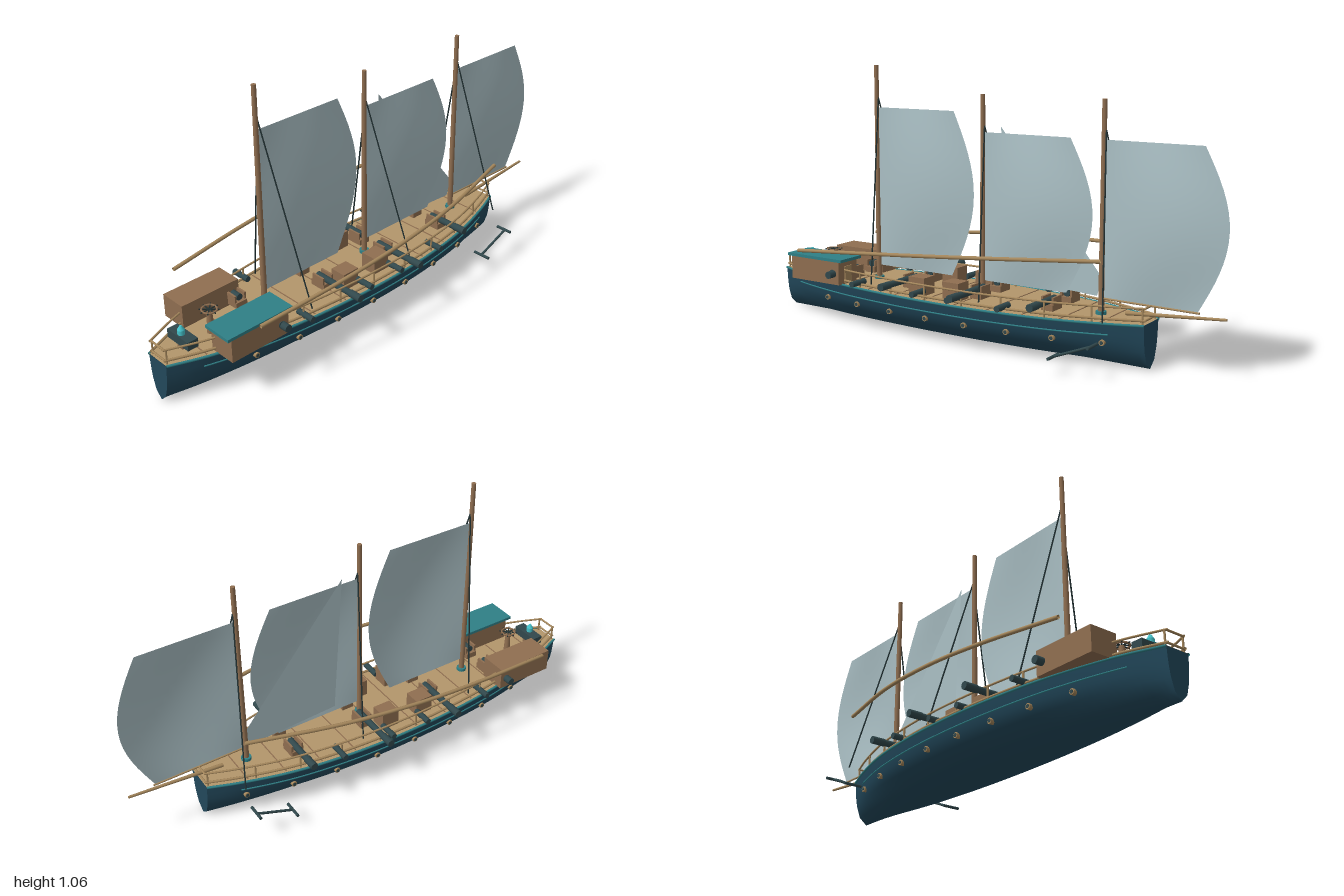
import * as THREE from 'three';

const mat = (name, color) => {
  const m = new THREE.MeshStandardMaterial({ color, side: THREE.DoubleSide });
  m.name = name;
  return m;
};

export function createModel() {
  const root = new THREE.Group();
  root.name = 'sailingShip';
  const hullBlue = mat('hullBlue', 0x22485b), deckTan = mat('deckTan', 0xb3966b),
    wood = mat('wood', 0x8f6e50), spar = mat('spar', 0xa5875c), teal = mat('teal', 0x2f7f86),
    glow = mat('lanternGlow', 0x45c4cc), metal = mat('metal', 0x31484c),
    sailGrey = mat('sailCloth', 0xa9bec3), rope = mat('rope', 0x223234);

  const V = (x, y, z) => new THREE.Vector3(x, y, z);
  const add = (name, geo, material, x = 0, y = 0, z = 0) => {
    const m = new THREE.Mesh(geo, material);
    m.name = name;
    m.position.set(x, y, z);
    root.add(m);
    return m;
  };
  const box = (name, m, w, h, d, x, y, z) => add(name, new THREE.BoxGeometry(w, h, d), m, x, y, z);
  // round bar between two points
  const bar = (name, m, a, b, r0, r1 = r0, sides = 8) => {
    const d = b.clone().sub(a);
    const mesh = add(name, new THREE.CylinderGeometry(r1, r0, d.length(), sides), m);
    mesh.position.copy(a).addScaledVector(d, 0.5);
    mesh.quaternion.setFromUnitVectors(V(0, 1, 0), d.normalize());
    return mesh;
  };
  const tube = (name, m, pts, r, n = 40) =>
    add(name, new THREE.TubeGeometry(new THREE.CatmullRomCurve3(pts), n, r, 8), m);

  // plan outline: half width along the length
  const plan = new THREE.CatmullRomCurve3([[1, 0.05], [0.85, 0.108], [0.6, 0.168], [0.35, 0.198],
    [0.1, 0.208], [-0.15, 0.198], [-0.4, 0.162], [-0.6, 0.105], [-0.72, 0.06]]
    .map(([z, w]) => V(w, 0, z))).getPoints(48);
  const halfWidth = z => {
    let i = 0;
    while (i < plan.length - 2 && plan[i + 1].z > z) i++;
    const a = plan[i], b = plan[i + 1];
    return a.x + (b.x - a.x) * (a.z - z) / (a.z - b.z);
  };

  // hull: one section scaled along the plan
  const half = [[1, 0.175], [0.965, 0.14], [0.92, 0.11], [0.82, 0.075], [0.55, 0.03]];
  const section = [...half.map(([x, y]) => [-x, y]), [0, 0.003], ...half.map(p => [...p]).reverse()];
  const pos = [], idx = [], n = section.length;
  plan.forEach((p, i) => section.forEach(([x, y], j) => {
    pos.push(x * p.x, y, p.z);
    if (i < plan.length - 1 && j < n - 1) {
      const a = i * n + j, c = a + n;
      idx.push(a, c, a + 1, a + 1, c, c + 1);
    }
  }));
  const hull = new THREE.BufferGeometry();
  hull.setAttribute('position', new THREE.Float32BufferAttribute(pos, 3));
  hull.setIndex(idx);
  hull.computeVertexNormals();
  add('hull', hull, hullBlue);
  for (const [name, p, turn] of [['bowPlate', plan[0], 0], ['sternPlate', plan[48], Math.PI]]) {
    const s = new THREE.Shape(section.map(([x, y]) => new THREE.Vector2(x * p.x, y)));
    add(name, new THREE.ShapeGeometry(s), hullBlue, 0, 0, p.z).rotation.y = turn;
  }

  // deck with plank seams
  const deck = new THREE.Shape([...plan.map(p => new THREE.Vector2(p.x, -p.z)),
    ...plan.slice().reverse().map(p => new THREE.Vector2(-p.x, -p.z))]);
  add('deck', new THREE.ShapeGeometry(deck), deckTan, 0, 0.176, 0).rotation.x = -Math.PI / 2;
  for (let z = 0.86; z > -0.7; z -= 0.143)
    box('plankSeam', wood, 2 * halfWidth(z) - 0.02, 0.002, 0.004, 0, 0.177, z);

  for (const s of [-1, 1]) {
    // gunwale, trim and rails
    const along = (inset, y, from = 0, to = 48) =>
      plan.slice(from, to + 1).map(p => V(s * (p.x + inset), y, p.z));
    tube('gunwale', teal, along(0.001, 0.174), 0.005, 60);
    tube('hullTrim', teal, plan.slice(5, 43).map(p => V(s * p.x * 0.963, 0.133, p.z)), 0.003, 60);
    tube('lowerRail', spar, along(-0.012, 0.19), 0.005, 60);
    tube('topRail', spar, along(-0.012, 0.234), 0.004, 60);
    for (let z = 0.99; z > -0.72; z -= 0.17) {
      const x = s * (halfWidth(z) - 0.012);
      bar('railPost', spar, V(x, 0.175, z), V(x, 0.234, z), 0.004, 0.004, 6);
    }
    // portholes
    for (let i = 0; i < 8; i++) {
      const z = 0.68 - i * 0.18, x = halfWidth(z) * 0.9;
      bar('porthole', spar, V(s * (x - 0.01), 0.103, z), V(s * (x + 0.011), 0.103, z), 0.011, 0.011, 12);
      bar('portholeGlass', metal, V(s * x, 0.103, z), V(s * (x + 0.0125), 0.103, z), 0.007, 0.007, 12);
    }
    // large guns on carriages
    for (const [z, reach] of [[0.6, 0.23], [0.29, 0.277], [-0.035, 0.277], [-0.35, 0.227]]) {
      bar('cannon', metal, V(s * 0.045, 0.221, z), V(s * reach, 0.221, z), 0.014, 0.012, 12);
      bar('cannonMuzzle', metal, V(s * (reach - 0.055), 0.221, z), V(s * reach, 0.221, z), 0.015, 0.015, 12);
      box('cannonCarriage', wood, 0.07, 0.024, 0.05, s * 0.068, 0.197, z);
      for (const e of [-1, 1]) box('carriageCheek', wood, 0.06, 0.03, 0.008, s * 0.07, 0.221, z + e * 0.022);
    }
    // small guns
    for (const z of [0.48, 0.18, 0.015, -0.21])
      bar('smallCannon', metal, V(s * 0.145, 0.197, z), V(s * 0.226, 0.197, z), 0.012, 0.012, 10);
    // deck crates
    for (const z of [0.052, 0.215]) box('crate', wood, 0.068, 0.07, 0.075, s * 0.113, 0.211, z);
    // curved side poles
    tube('sidePole', spar, [V(s * 0.25, 0.312, 0.74), V(s * 0.277, 0.345, 0.38), V(s * 0.28, 0.368, 0.1),
      V(s * 0.25, 0.39, -0.22), V(s * 0.165, 0.41, -0.6)], 0.0075);
    // anchors
    bar('anchorStem', metal, V(s * 0.237, 0.125, -0.607), V(s * 0.237, 0.065, -0.457), 0.005);
    bar('anchorStock', metal, V(s * 0.197, 0.125, -0.607), V(s * 0.267, 0.125, -0.607), 0.006);
    bar('anchorArms', metal, V(s * 0.2, 0.065, -0.457), V(s * 0.276, 0.065, -0.457), 0.006);
  }
  for (const y of [0.19, 0.234]) {
    bar('bowRail', spar, V(-0.038, y, 0.995), V(0.038, y, 0.995), 0.004);
    bar('sternRail', spar, V(-0.048, y, -0.717), V(0.048, y, -0.717), 0.004);
  }

  // masts, shrouds and bellied sails
  const sail = (z, bottom, top) => {
    const N = 16, g = new THREE.PlaneGeometry(1, 1, N, N), p = g.attributes.position;
    for (let i = 0; i < p.count; i++) {
      const u = p.getX(i) + 0.5, v = p.getY(i) + 0.5, arch = Math.sin(Math.PI * v);
      p.setXYZ(i, 0.027 * arch * Math.sin(Math.PI * u), bottom + (top - bottom) * v,
        z - 0.008 - u * (0.375 + 0.1 * arch - 0.01 * (1 - v)));
    }
    g.computeVertexNormals();
    add('sail', g, sailGrey);
  };
  for (const [z, top, head, shroud] of [[0.52, 1.06, 0.89, 0.93], [0, 0.96, 0.815, 0.84], [-0.52, 0.96, 0.815, 0.85]]) {
    bar('mast', wood, V(0, 0.17, z), V(0, top, z), 0.0115, 0.009, 12);
    bar('mastCollar', teal, V(0, 0.175, z), V(0, 0.188, z), 0.02, 0.02, 12);
    sail(z, 0.235, head);
    for (const s of [-1, 1])
      bar('shroud', rope, V(0, shroud, z - 0.008), V(s * 0.164, 0.192, z - 0.09), 0.003, 0.003, 6);
  }
  const stay = new THREE.Shape([[0.08, 0.84], [0.52, 0.31], [0.5, 0.24], [0.12, 0.26]]
    .map(([x, y]) => new THREE.Vector2(x, y)));
  add('staysail', new THREE.ShapeGeometry(stay), sailGrey, -0.004).rotation.y = Math.PI / 2;
  bar('boom', spar, V(0, 0.235, -0.52), V(0, 0.233, -0.9), 0.004);
  bar('sternSpar', spar, V(0, 0.194, -0.62), V(0, 0.225, -1), 0.008, 0.005);

  // deck houses
  box('rightDeckhouse', wood, 0.112, 0.094, 0.255, -0.141, 0.223, 0.7);
  box('leftDeckhouse', wood, 0.112, 0.094, 0.255, 0.141, 0.223, 0.7);
  box('deckhouseRoof', teal, 0.127, 0.012, 0.29, 0.1385, 0.277, 0.7);
  box('deckhouseDoor', spar, 0.04, 0.07, 0.006, 0.141, 0.214, 0.571);
  bar('deckhouseWindow', metal, V(0.19, 0.225, 0.605), V(0.2, 0.225, 0.605), 0.013, 0.013, 12);

  // steering wheel on a post
  bar('wheelPost', wood, V(0, 0.175, 0.77), V(0, 0.272, 0.77), 0.014, 0.01, 12);
  add('wheelRim', new THREE.TorusGeometry(0.028, 0.004, 6, 20), wood, 0, 0.274, 0.77).rotation.x = Math.PI / 2;
  for (let i = 0; i < 4; i++) {
    const a = i * Math.PI / 4, x = 0.037 * Math.cos(a), z = 0.037 * Math.sin(a);
    bar('wheelSpoke', rope, V(-x, 0.274, 0.77 - z), V(x, 0.274, 0.77 + z), 0.0025, 0.0025, 6);
  }

  // lantern on a bow chest
  box('bowChest', metal, 0.12, 0.035, 0.045, 0, 0.214, 0.89);
  box('bowChestBase', wood, 0.03, 0.022, 0.03, 0, 0.187, 0.89);
  bar('lantern', glow, V(0, 0.231, 0.895), V(0, 0.25, 0.895), 0.014, 0.014, 8);
  bar('lanternCap', glow, V(0, 0.25, 0.895), V(0, 0.266, 0.895), 0.014, 0.004, 8);
  return root;
}
